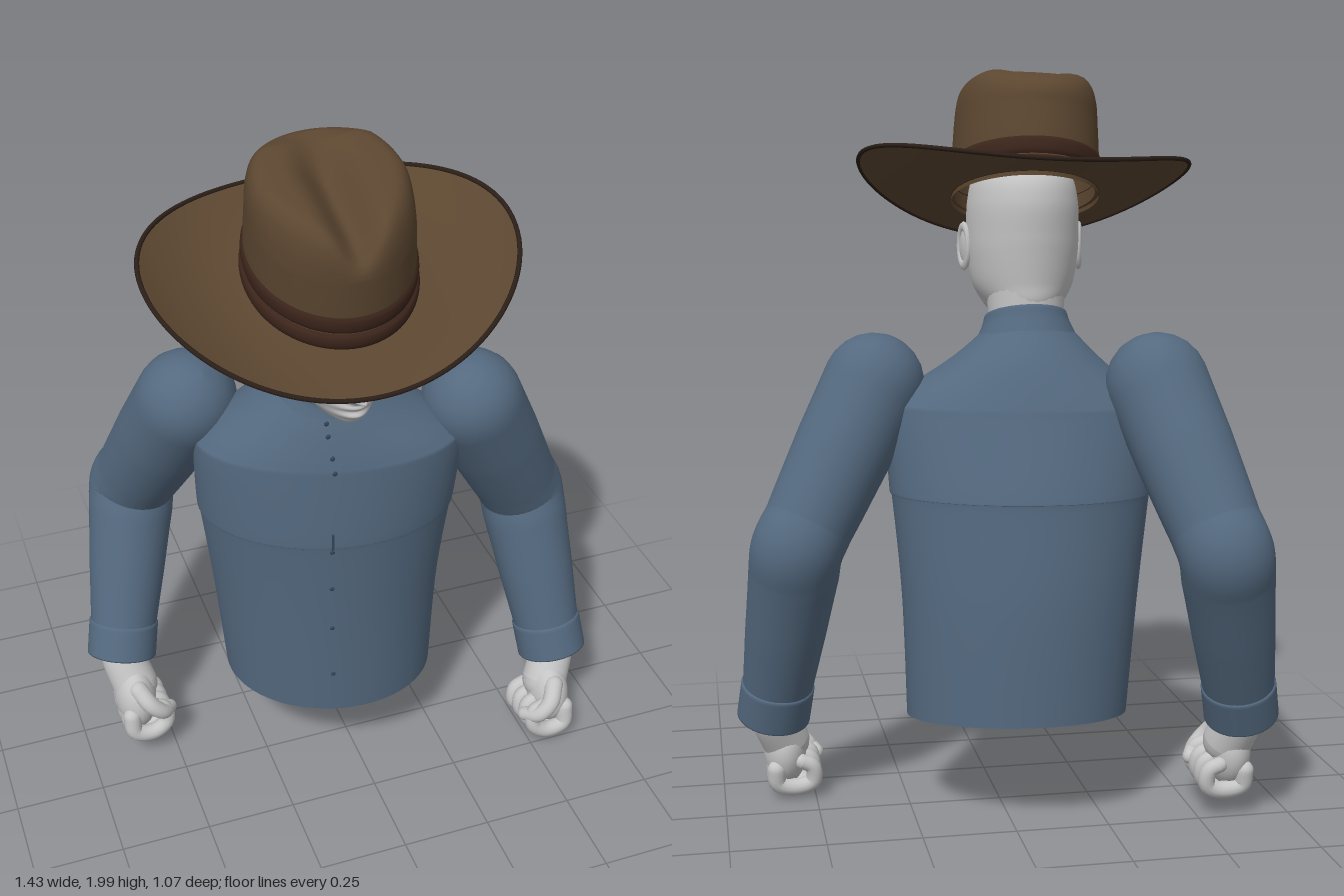
import * as THREE from 'three';

const mat = (name, color) => {
  const m = new THREE.MeshStandardMaterial({ color, side: THREE.DoubleSide });
  m.name = name;
  return m;
};
const V = (x, y, z) => new THREE.Vector3(x, y, z);
const bell = (t) => Math.exp(-t * t);
const clamp01 = (t) => Math.min(1, Math.max(0, t));

// Smooth interpolation through a table of rows, u in 0..1
function sample(table, u) {
  const n = table.length - 1, s = u * n, i = Math.min(Math.floor(s), n - 1), t = s - i;
  const [a, b, c, d] = [i - 1, i, i + 1, i + 2].map((k) => table[Math.min(n, Math.max(0, k))]);
  return b.map((p, k) => p + 0.5 * t * (c[k] - a[k] +
    t * (2 * a[k] - 5 * p + 4 * c[k] - d[k] + t * (3 * (p - c[k]) + d[k] - a[k]))));
}

// Closed-round surface from f(u, angle)
function surface(rows, cols, f) {
  const pos = [], idx = [];
  for (let i = 0; i <= rows; i++)
    for (let j = 0; j < cols; j++) pos.push(...f(i / rows, (j / cols) * Math.PI * 2));
  for (let i = 0; i < rows; i++)
    for (let j = 0; j < cols; j++) {
      const k = (j + 1) % cols, a = i * cols + j, b = i * cols + k;
      idx.push(a, a + cols, b, b, a + cols, b + cols);
    }
  const g = new THREE.BufferGeometry();
  g.setAttribute('position', new THREE.Float32BufferAttribute(pos, 3));
  g.setIndex(idx);
  g.computeVertexNormals();
  return g;
}

// Round limb along points [x, y, z, radius], with optional domed ends
function limb(pts, { capA = false, capB = false, ref = V(1, 0, 0), n = 24, cols = 28 } = {}) {
  const curve = new THREE.CatmullRomCurve3(pts.map((p) => V(p[0], p[1], p[2])));
  const rings = [];
  const dome = (p, t, r, sign) => {
    for (let k = 0; k < 6; k++) {
      const a = (sign < 0 ? k : 6 - k) / 6 * Math.PI / 2;
      rings.push([p.clone().addScaledVector(t, sign * r * Math.cos(a)), t, r * Math.sin(a)]);
    }
  };
  for (let i = 0; i <= n; i++) {
    const u = i / n, s = u * (pts.length - 1), k = Math.min(Math.floor(s), pts.length - 2);
    const r = THREE.MathUtils.lerp(pts[k][3], pts[k + 1][3], s - k);
    const p = curve.getPoint(u), t = curve.getTangent(u);
    if (i === 0 && capA) dome(p, t, r, -1);
    rings.push([p, t, r]);
    if (i === n && capB) dome(p, t, r, 1), rings.push([p.clone().addScaledVector(t, r), t, 0]);
  }
  return surface(rings.length - 1, cols, (u, a) => {
    const [p, t, r] = rings[Math.round(u * (rings.length - 1))];
    const nx = ref.clone().addScaledVector(t, -ref.dot(t)).normalize();
    const nz = nx.clone().cross(t);
    return p.clone().addScaledVector(nx, r * Math.cos(a)).addScaledVector(nz, r * Math.sin(a)).toArray();
  });
}

// Torso rows: y, centre x, centre z, half width, half depth, forward slope
const TORSO = [
  [0.275, -0.035, -0.06, 0.298, 0.228, 0.1], [0.6, -0.045, -0.05, 0.318, 0.238, 0.06],
  [0.86, -0.05, -0.03, 0.345, 0.24, 0.02], [0.89, -0.05, -0.027, 0.352, 0.245, 0.02],
  [1.08, -0.05, 0, 0.358, 0.215, 0], [1.13, -0.053, 0.005, 0.335, 0.205, 0],
  [1.225, -0.07, 0.015, 0.21, 0.17, 0.05], [1.3, -0.08, 0.038, 0.125, 0.125, 0.2],
  [1.33, -0.08, 0.045, 0.105, 0.112, 0.28]];
const YAW = 0.25;
function ringPoint([y, cx, cz, rx, rz, slope], a) {
  const x = rx * Math.cos(a), z = rz * Math.sin(a);
  const wz = x * Math.sin(YAW) + z * Math.cos(YAW);
  return [cx + x * Math.cos(YAW) - z * Math.sin(YAW), y - slope * wz, cz + wz];
}

// Head rows: y, back z, front z, half width
const HEAD = [
  [1.308, 0.12, 0.2, 0.01], [1.312, 0.06, 0.27, 0.045], [1.335, 0, 0.31, 0.075],
  [1.38, -0.03, 0.325, 0.112], [1.43, -0.033, 0.332, 0.138], [1.5, -0.04, 0.336, 0.15],
  [1.56, -0.045, 0.35, 0.153], [1.65, -0.047, 0.345, 0.15], [1.72, -0.02, 0.3, 0.13],
  [1.77, 0.06, 0.22, 0.07], [1.78, 0.13, 0.16, 0.01]];
function headPoint(u, a) {
  const [y, zb, zf, w] = sample(HEAD, u), c = Math.cos(a), s = Math.sin(a);
  const x = w * c * (1 - 0.12 * Math.max(s, 0));
  let z = 0.14 + (s > 0 ? zf - 0.14 : 0.14 - zb) * s;
  if (s > 0) {
    const nose = y > 1.425 ? clamp01((1.545 - y) / 0.12) : clamp01((y - 1.395) / 0.03);
    z += 0.06 * nose * bell(x / 0.022);
    z -= 0.022 * bell((Math.abs(x) - 0.065) / 0.035) * bell((y - 1.505) / 0.02);
    z += 0.014 * bell(x / 0.045) * (bell((y - 1.387) / 0.01) + bell((y - 1.36) / 0.01));
    z += 0.008 * bell(x / 0.1) * bell((y - 1.54) / 0.015);
  }
  return [x - 0.088, y, z];
}

// Hat crown side and top: scale, height
const CROWN = [[1, 0], [1, 0.1], [0.98, 0.19], [0.96, 0.25], [0.9, 0.29], [0.78, 0.31],
  [0.55, 0.315], [0.28, 0.315], [0, 0.315]];
function crownPoint(u, a) {
  const [k, h] = sample(CROWN, u);
  const x = 0.2 * k * Math.cos(a), z = 0.24 * k * Math.sin(a);
  const top = clamp01((h - 0.2) / 0.1);
  const dent = 0.065 * bell(x / 0.055) * clamp01((z + 0.17) / 0.14) * top;
  const pinch = 1 - 0.15 * top * clamp01(z / 0.24);
  return [x * pinch, h - dent - 0.05 * top * clamp01((-z - 0.12) / 0.12), z - 0.09 * h];
}
function brimPoint(u, a) {
  const side = Math.cos(a) ** 2;
  return [(0.19 + 0.265 * u) * Math.cos(a), 0.012 * (1 - u) + 0.1 * side * u * u,
    (0.23 + 0.157 * u) * Math.sin(a)];
}

export function createModel() {
  const shirt = mat('shirt blue', 0x54697f), felt = mat('felt brown', 0x5b4630);
  const bandMat = mat('band brown', 0x3c251b), trim = mat('trim dark', 0x2b1f18);
  const skin = mat('pale skin', 0xc4c4c4), seam = mat('seam blue', 0x34465a);
  const model = new THREE.Group();
  const add = (name, geo, material, parent = model) => {
    const m = new THREE.Mesh(geo, material);
    m.name = name;
    parent.add(m);
    return m;
  };

  // Shirt body, collar, buttons
  add('shirtBody', surface(80, 72, (u, a) => ringPoint(sample(TORSO, u), a)), shirt);
  const collar = [[1.285, -0.08, 0.036, 0.135, 0.135, 0.22], [1.32, -0.08, 0.042, 0.118, 0.122, 0.28],
    [1.345, -0.08, 0.048, 0.11, 0.118, 0.3], [1.345, -0.08, 0.048, 0.1, 0.108, 0.3]];
  add('collar', surface(16, 48, (u, a) => ringPoint(sample(collar, u), a)), shirt);
  for (const u of [0.06, 0.12, 0.18, 0.25, 0.56, 0.66, 0.74, 0.8]) {
    const button = add('button', new THREE.SphereGeometry(0.007, 10, 8), seam);
    button.position.set(...ringPoint(sample(TORSO, u), Math.PI / 2));
    button.scale.z = 0.5;
  }
  const slit = add('placketSlit', new THREE.BoxGeometry(0.006, 0.05, 0.008), seam);
  slit.position.set(...ringPoint(sample(TORSO, 0.385), Math.PI / 2));

  // Sleeves, cuffs and fists
  const arms = [
    { side: 'left', s: [0.33, 1.165, 0.07], e: [0.55, 0.745, -0.045], w: [0.613, 0.245, 0.115],
      hand: [0.568, 0.13, 0.165], mirror: 1 },
    { side: 'right', s: [-0.39, 1.175, -0.165], e: [-0.507, 0.77, -0.41], w: [-0.615, 0.29, -0.24],
      hand: [-0.586, 0.17, -0.18], mirror: -1 }];
  for (const { side, s, e, w, hand, mirror } of arms) {
    const S = V(...s), E = V(...e), W = V(...w);
    const on = (A, B, t, r) => [...A.clone().lerp(B, t).toArray(), r];
    add(side + 'Sleeve', limb([on(S, E, 0, 0.136), on(S, E, 0.4, 0.132), on(S, E, 0.85, 0.12), on(S, E, 1, 0.122),
      on(E, W, 0.15, 0.12), on(E, W, 0.5, 0.108), on(E, W, 0.95, 0.09)], { capA: true, n: 48, cols: 40 }), shirt);
    add(side + 'Cuff', limb([on(E, W, 0.79, 0.088), on(E, W, 0.81, 0.1), on(E, W, 0.9, 0.1),
      on(E, W, 1, 0.1), on(E, W, 0.985, 0.085)], { n: 20, cols: 40 }), shirt);

    const H = V(...hand);
    add(side + 'Wrist', limb([on(E, W, 0.88, 0.062), on(E, W, 1, 0.062),
      on(W, H, 0.75, 0.066)], { capB: true }), skin);
    const fist = new THREE.Group();
    fist.name = side + 'Hand';
    fist.position.copy(H);
    fist.rotation.x = -0.15;
    model.add(fist);
    const palm = add('palm', new THREE.SphereGeometry(1, 28, 20), skin, fist);
    palm.scale.set(0.06, 0.1, 0.088);
    palm.position.x = mirror * 0.012;
    for (let i = 0; i < 4; i++) {
      const z = -0.068 + i * 0.045, d = i === 0 ? 0.012 : 0;
      const path = [[0.04, -0.03], [0.035, -0.085 + d], [-0.02, -0.098 + d], [-0.06, -0.07], [-0.058, -0.025], [-0.03, -0.01]];
      add('finger', limb(path.map(([x, y], k) => [mirror * x, y, z, 0.026 - k * 0.001]),
        { capA: true, capB: true, ref: V(0, 0, 1), cols: 14 }), skin, fist);
    }
    const thumb = [[0.01, 0.05, 0.06], [-0.015, 0.01, 0.09], [-0.05, -0.025, 0.085], [-0.077, -0.04, 0.045]];
    add('thumb', limb(thumb.map(([x, y, z], k) => [mirror * x, y, z, 0.027 - k * 0.002]),
      { capA: true, capB: true, cols: 14 }), skin, fist);
  }

  // Head, neck and face
  add('neck', limb([[-0.085, 1.2, 0.045, 0.1], [-0.085, 1.32, 0.065, 0.1], [-0.086, 1.45, 0.08, 0.11]]), skin);
  add('head', surface(110, 120, headPoint), skin);
  for (const m of [-1, 1]) {
    const ear = add('ear', new THREE.SphereGeometry(1, 20, 16), skin);
    ear.scale.set(0.016, 0.055, 0.032);
    ear.position.set(-0.088 + m * 0.152, 1.525, 0.145);
    ear.rotation.set(-0.15, m * 0.25, 0);
    const rim = add('earRim', new THREE.TorusGeometry(0.03, 0.008, 8, 24), skin);
    rim.scale.y = 1.75;
    rim.position.set(-0.088 + m * 0.16, 1.527, 0.143);
    rim.rotation.set(0, Math.PI / 2 + m * 0.25, 0);
    const eye = add('eye', new THREE.SphereGeometry(0.024, 18, 14), skin);
    eye.scale.y = 0.75;
    eye.position.set(-0.088 + m * 0.066, 1.502, 0.285);
    const line = (name, y, z, w, r) => add(name, new THREE.TubeGeometry(new THREE.CatmullRomCurve3(
      [-1, 0, 1].map((t) => V(-0.088 + m * (0.066 + t * w), y + (t ? 0 : 0.005), z - t * 0.016 - (t ? 0.006 : 0)))),
    12, r, 6), trim);
    line('eyelid', 1.502, 0.311, 0.022, 0.003);
    line('eyebrow', 1.54, 0.324, 0.034, 0.005);
  }

  // Hat, tipped forward
  const hat = new THREE.Group();
  hat.name = 'hat';
  hat.position.set(-0.1, 1.65, 0.16);
  hat.rotation.set(0.28, 0, 0.045);
  model.add(hat);
  add('crown', surface(64, 80, crownPoint), felt, hat);
  add('brim', surface(20, 96, brimPoint), felt, hat);
  const edge = Array.from({ length: 48 }, (_, i) => V(...brimPoint(1, (i / 48) * Math.PI * 2)));
  add('brimEdge', new THREE.TubeGeometry(new THREE.CatmullRomCurve3(edge, true), 128, 0.006, 8, true), trim, hat);
  for (const [y0, y1, r] of [[0.01, 0.056, 0.012], [0.056, 0.104, 0.008]]) {
    add('hatBand', surface(8, 72, (u, a) => {
      const y = y0 + (y1 - y0) * u, k = r * Math.sin(Math.PI * u) ** 0.4;
      return [(0.199 + k) * Math.cos(a), y, (0.239 + k) * Math.sin(a) - 0.09 * y];
    }), bandMat, hat);
  }
  return model;
}
